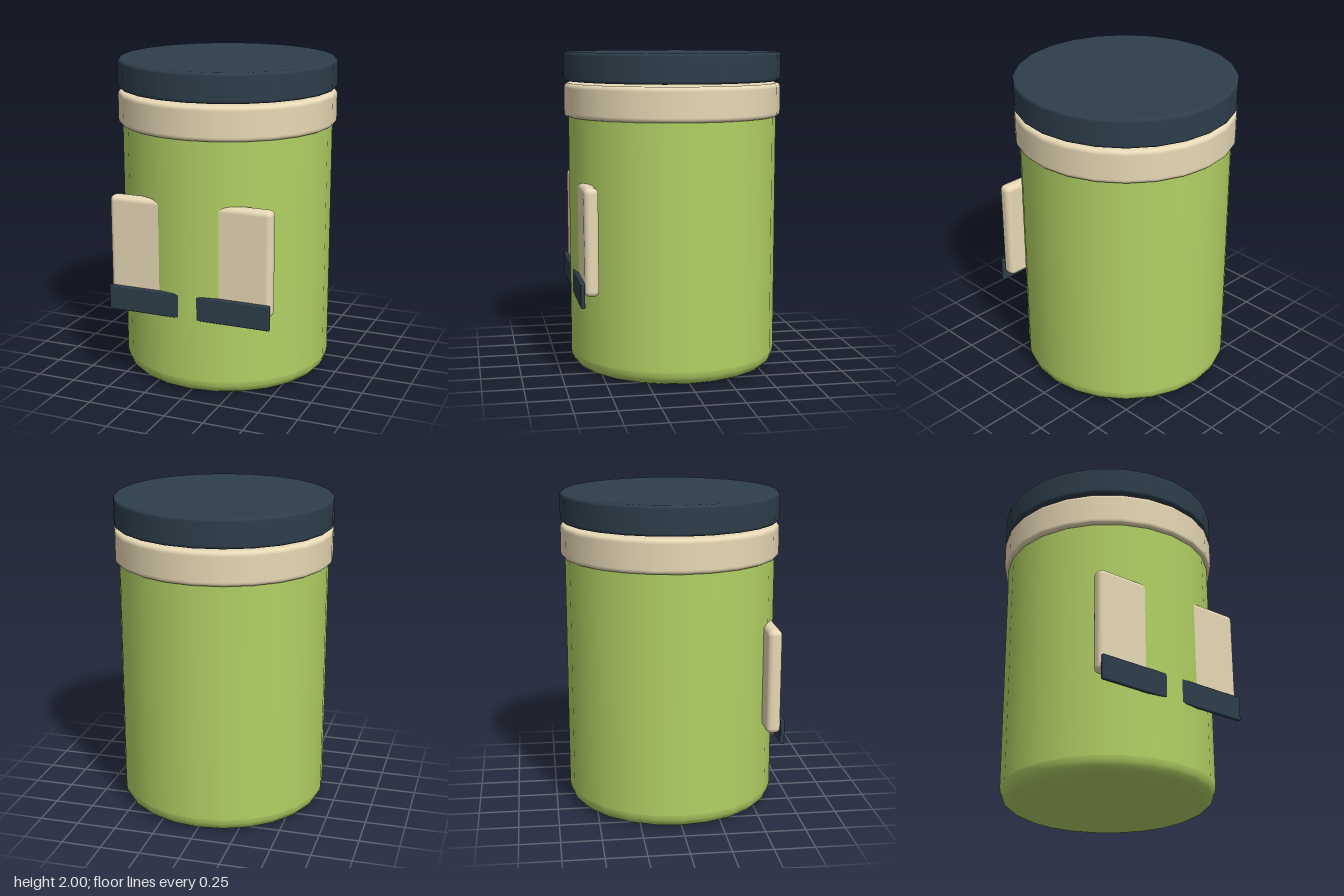
import * as THREE from 'three';
import { RoundedBoxGeometry } from 'three/addons/geometries/RoundedBoxGeometry.js';

const SIDES = 24;

const mat = (color) => new THREE.MeshStandardMaterial({ color });

// Upright closed disc or drum with rounded bottom and top rims.
function roundedDrum(radius, bottom, top, rimBottom, rimTop) {
  const pts = [];
  const add = (x, y) => pts.push(new THREE.Vector2(x, y));
  const steps = 5, hold = 0.003; // extra rings keep the flat areas flat
  add(0, bottom);
  add(radius - rimBottom - hold, bottom);
  for (let i = 0; i <= steps; i++) {
    const a = (i / steps) * Math.PI / 2;
    add(radius - rimBottom + Math.sin(a) * rimBottom, bottom + rimBottom - Math.cos(a) * rimBottom);
  }
  add(radius, bottom + rimBottom + hold);
  add(radius, top - rimTop - hold);
  for (let i = 0; i <= steps; i++) {
    const a = (i / steps) * Math.PI / 2;
    add(radius - rimTop + Math.cos(a) * rimTop, top - rimTop + Math.sin(a) * rimTop);
  }
  add(radius - rimTop - hold, top);
  add(0, top);
  return new THREE.LatheGeometry(pts, SIDES);
}

export function createModel() {
  const model = new THREE.Group();
  model.name = 'canister';
  const green = mat(0xb2d164);
  const cream = mat(0xe8d9b6);
  const navy = mat(0x2d3e4b);

  const part = (name, geometry, material, x = 0, y = 0, z = 0) => {
    const mesh = new THREE.Mesh(geometry, material);
    mesh.name = name;
    mesh.position.set(x, y, z);
    model.add(mesh);
  };

  // Body, collar and the lid hovering just above it
  part('body', roundedDrum(0.66, 0, 1.75, 0.09, 0.09), green);
  part('collar', roundedDrum(0.686, 1.597, 1.807, 0.025, 0.025), cream);
  part('lid', roundedDrum(0.686, 1.82, 2, 0.018, 0.018), navy);

  // Front panel passing through the curved wall, with a thin strip across its foot
  part('frontPanel', new RoundedBoxGeometry(1.056, 0.66, 0.088, 4, 0.035), cream, 0, 0.878, 0.583);
  part('frontStrip', new RoundedBoxGeometry(1.056, 0.156, 0.026, 3, 0.008), navy, 0, 0.56, 0.639);

  return model;
}
